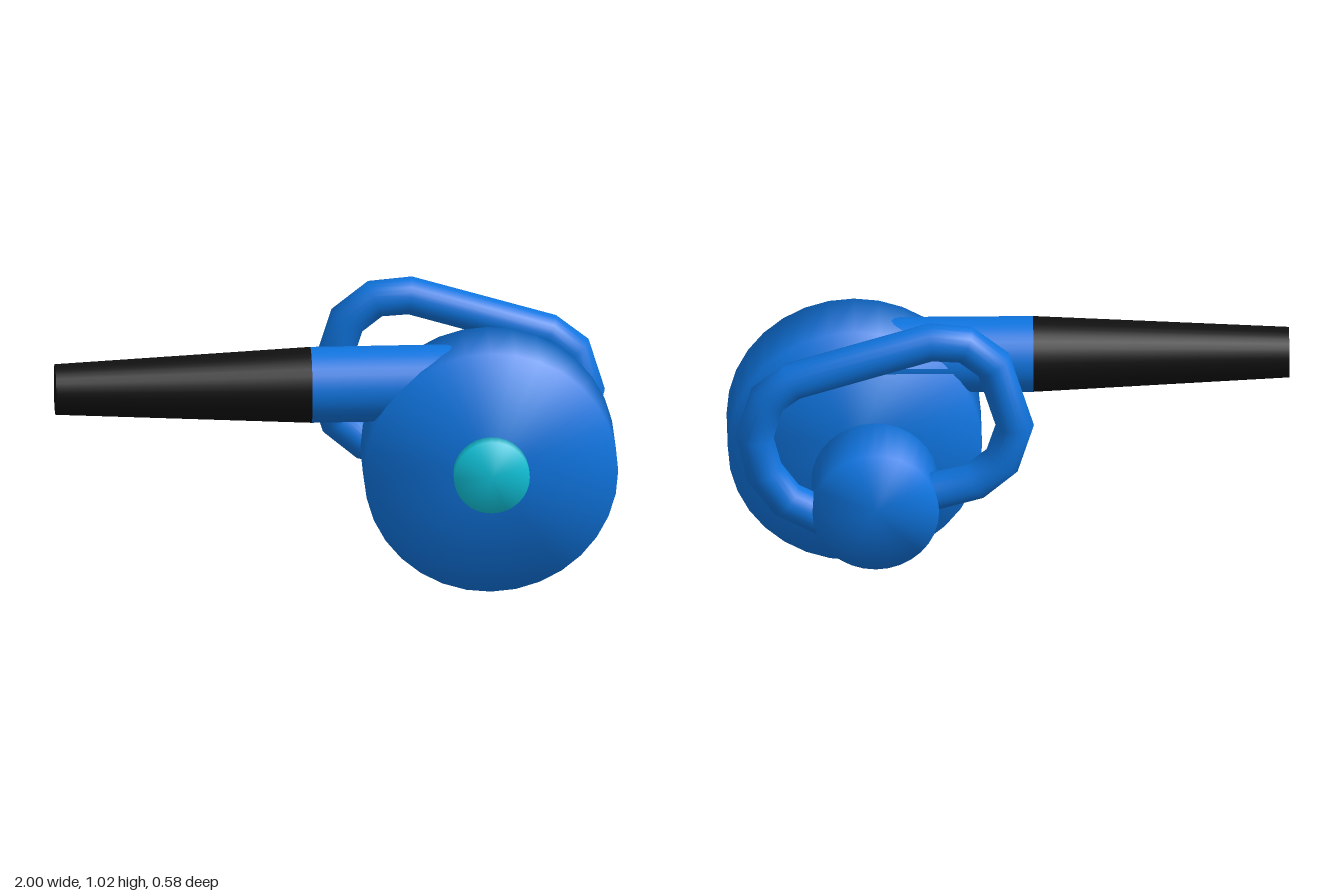
import * as THREE from 'three';
import { mergeVertices } from 'three/addons/utils/BufferGeometryUtils.js';

const BLUE = 0x0f75e0, BLACK = 0x101010, CYAN = 0x10c5dc;

// Curve that runs straight between its points, with one tube ring at each point
class Polyline extends THREE.Curve {
  constructor(points) {
    super();
    this.points = points;
  }
  getPoint(t, target = new THREE.Vector3()) {
    const f = t * (this.points.length - 1);
    const i = Math.min(Math.floor(f + 1e-6), this.points.length - 2);
    return target.lerpVectors(this.points[i], this.points[i + 1], f - i);
  }
  getPointAt(u, target) {
    return this.getPoint(u, target);
  }
  // Tangent bisects the two neighbouring segments
  getTangentAt(u, target = new THREE.Vector3()) {
    const p = this.points, n = p.length - 1, i = Math.round(u * n);
    const into = p[Math.max(i, 1)].clone().sub(p[Math.max(i, 1) - 1]).normalize();
    const j = Math.min(i, n - 1);
    const out = p[j + 1].clone().sub(p[j]).normalize();
    return target.copy(into).add(out).normalize();
  }
}

// Normals shared between the wall and the caps give soft, rounded shading
function soften(geometry) {
  geometry.deleteAttribute('uv');
  geometry.deleteAttribute('normal');
  const merged = mergeVertices(geometry, 1e-4);
  merged.computeVertexNormals();
  return merged;
}

export function createModel() {
  const group = new THREE.Group();

  const add = (name, geometry, color, side = THREE.FrontSide) => {
    const mesh = new THREE.Mesh(geometry, new THREE.MeshStandardMaterial({ color, side }));
    mesh.name = name;
    group.add(mesh);
  };

  // Drum whose axis runs along z
  const drum = (name, x, y, r, z0, z1, color) => {
    const g = soften(new THREE.CylinderGeometry(r, r, z1 - z0, 32));
    g.rotateX(Math.PI / 2);
    g.translate(x, y, (z0 + z1) / 2);
    add(name, g, color);
  };

  // Pipe whose axis runs along x, radius r0 at x0 and r1 at x1
  const pipe = (name, x0, x1, r0, r1, color) => {
    const g = new THREE.CylinderGeometry(r0, r1, x1 - x0, 32);
    g.rotateZ(Math.PI / 2);
    g.translate((x0 + x1) / 2, 0.75, 0.104);
    add(name, g, color);
  };

  // Fan housing, its front hub and the motor behind it
  drum('fanHousing', 0.545, 0.455, 0.452, -0.03, 0.24, BLUE);
  drum('frontHub', 0.545, 0.455, 0.135, 0.23, 0.292, CYAN);
  drum('motor', 0.475, 0.32, 0.225, -0.29, -0.02, BLUE);

  // Outlet pipe and tapering nozzle
  pipe('outletPipe', -0.09, 0.5, 0.135, 0.135, BLUE);
  pipe('nozzle', -1, -0.09, 0.09, 0.135, BLACK);

  // Bent handle loop, both ends sunk into the motor
  const path = [
    [0.34, 0.35], [0.12, 0.41], [0.025, 0.49], [-0.02, 0.63], [0.055, 0.87],
    [0.155, 0.95], [0.28, 0.96], [0.77, 0.81], [0.86, 0.74], [0.905, 0.59],
    [0.87, 0.45], [0.79, 0.34], [0.6, 0.24],
  ].map(([x, y]) => new THREE.Vector3(x, y, -0.22));
  const handle = new THREE.TubeGeometry(new Polyline(path), path.length - 1, 0.068, 24, false);
  add('handle', handle, BLUE, THREE.DoubleSide);

  return group;
}
